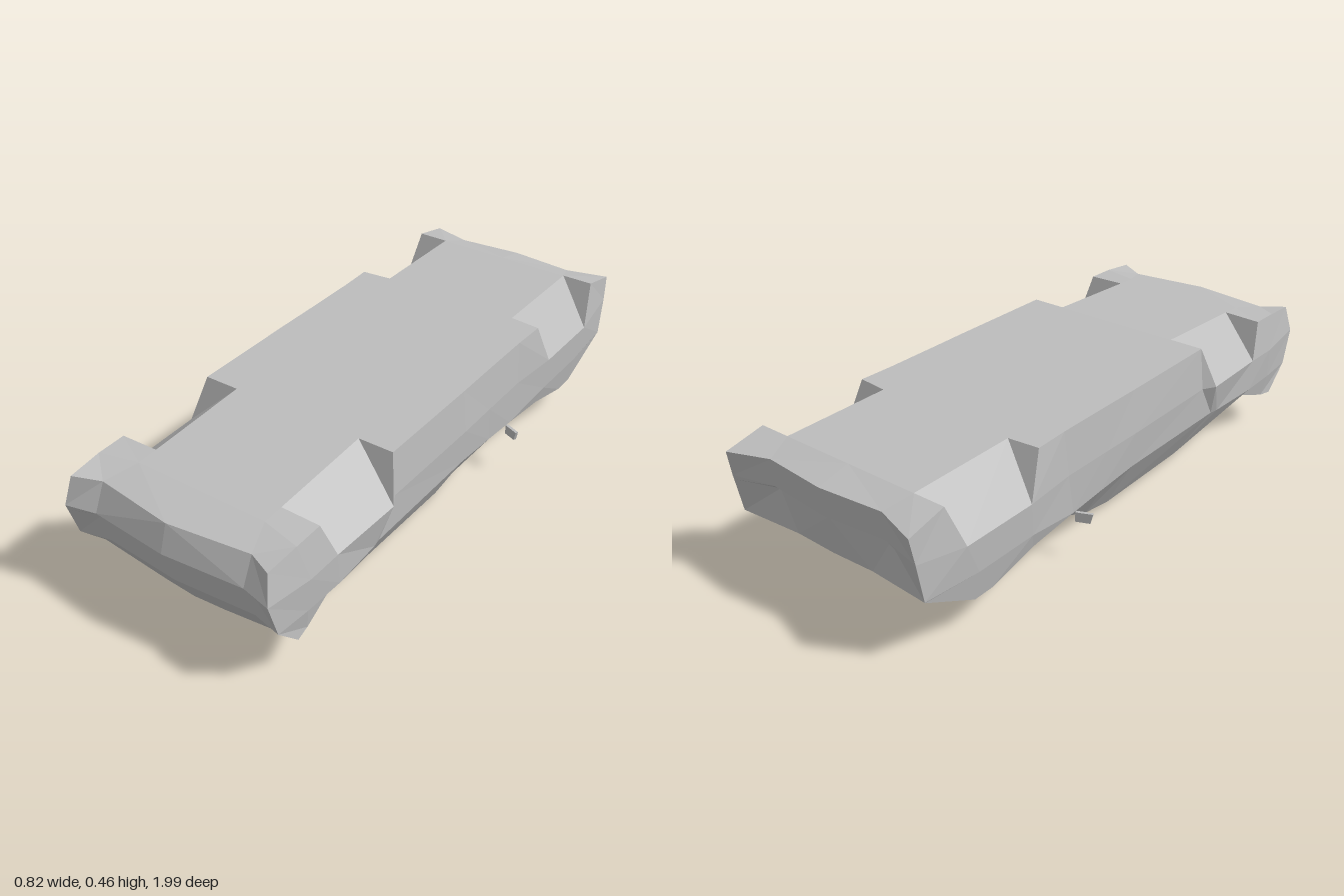
import * as THREE from 'three';

const bodyGrey = new THREE.MeshStandardMaterial({ color: 0xbdbdbd });
bodyGrey.name = 'bodyGrey';

// Flat-shaded skin over rows of points, built for +x and mirrored to -x.
function skin(rows, flip = false) {
  const pos = [];
  const tri = (p, q, r, m) => {
    const [A, B, C] = [p, q, r].map(v => new THREE.Vector3(v[0] * m, v[1], v[2]));
    const area = B.clone().sub(A).cross(C.clone().sub(A)).length();
    if (area < 1e-7) return;
    const order = (m < 0) !== flip ? [A, C, B] : [A, B, C];
    for (const v of order) pos.push(v.x, v.y, v.z);
  };
  for (const m of [1, -1])
    for (let i = 0; i + 1 < rows.length; i++)
      for (let j = 0; j + 1 < rows[i].length; j++) {
        const a = rows[i][j], b = rows[i][j + 1], c = rows[i + 1][j + 1], d = rows[i + 1][j];
        tri(a, b, c, m);
        tri(a, c, d, m);
      }
  const g = new THREE.BufferGeometry();
  g.setAttribute('position', new THREE.Float32BufferAttribute(pos, 3));
  g.computeVertexNormals();
  return g;
}

// Half sections of the overturned car: floor centre, floor inner, floor edge,
// side crease, belt, roof or lid edge, roof or lid middle, roof or lid centre.
const noseEnd = [[0, .418, .96], [.27, .418, .925], [.355, .425, .965], [.37, .33, .99],
  [.37, .21, .955], [.367, .12, .87], [.11, .1, .88], [0, .097, .885]];
const noseLid = [[0, .437, .82], [.23, .437, .82], [.36, .435, .85], [.38, .31, .82],
  [.373, .2, .83], [.36, .125, .82], [.12, .108, .83], [0, .105, .83]];
const tailEnd = [[0, .43, -.97], [.22, .43, -.95], [.36, .425, -.995], [.365, .34, -.98],
  [.367, .213, -.957], [.366, .21, -.955], [.15, .205, -.935], [0, .205, -.94]];

// Wheel wells: the floor edge drops onto the side crease between two sections.
const drop = s => s.map((p, j) => (j === 2 ? s[3] : p));

const frontWellA = [[0, .44, .75], [.23, .44, .75], [.36, .437, .75], [.38, .31, .70],
  [.378, .2, .69], [.345, .18, .66], [.13, .168, .65], [0, .165, .65]];
const frontWellB = [[0, .457, .39], [.23, .457, .39], [.35, .457, .39], [.388, .31, .44],
  [.362, .19, .5], [.26, .025, .4], [.13, .008, .4], [0, .005, .4]];
const cabinStart = frontWellB.map((p, j) => (j === 3 ? [.362, .31, .395] : j === 4 ? [.357, .19, .47] : p));
const cabinMid = [[0, .457, 0], [.23, .457, 0], [.352, .457, 0], [.365, .31, 0],
  [.357, .19, 0], [.262, .02, 0], [.13, 0, 0], [0, 0, 0]];
const cabinEnd = [[0, .457, -.15], [.23, .457, -.15], [.351, .457, -.15], [.363, .31, -.15],
  [.357, .178, -.17], [.257, .03, -.11], [.13, .018, -.17], [0, .015, -.17]];
const glassFoot = [[0, .457, -.35], [.24, .457, -.35], [.351, .457, -.35], [.362, .31, -.34],
  [.358, .167, -.31], [.345, .16, -.33], [.13, .152, -.4], [0, .15, -.41]];
const rearWellA = [[0, .457, -.48], [.25, .457, -.48], [.355, .457, -.47], [.378, .31, -.53],
  [.373, .2, -.52], [.357, .145, -.5], [.13, .12, -.5], [0, .118, -.5]];
const rearWellB = [[0, .455, -.86], [.25, .455, -.86], [.358, .455, -.86], [.378, .31, -.80],
  [.373, .2, -.75], [.357, .103, -.68], [.13, .08, -.65], [0, .078, -.65]];
const rearLid = rearWellB.map((p, j) => (j > 4 ? [p[0], p[1], p[2] - .075] : p));

const bodySections = [noseEnd, noseLid, frontWellA, drop(frontWellA), drop(frontWellB), cabinStart,
  cabinMid, cabinEnd, glassFoot, rearWellA, drop(rearWellA), drop(rearWellB), rearLid, tailEnd];

// End panels: rows from the floor edge to the lid edge, with a stepped bumper.
const nosePanel = [
  noseEnd.slice(0, 3),
  [[0, .33, .99], [.27, .33, .967], [.37, .33, .99]],
  [[0, .31, .965], [.27, .31, .945], [.37, .31, .984]],
  [[0, .207, .95], [.27, .207, .93], [.37, .21, .955]],
  [noseEnd[7], noseEnd[6], noseEnd[5]],
];
const tailPanel = [
  tailEnd.slice(0, 3),
  [[0, .34, -.965], [.22, .34, -.945], [.365, .34, -.98]],
  [[0, .325, -.945], [.22, .325, -.927], [.365, .325, -.977]],
  [tailEnd[7], tailEnd[6], tailEnd[5]],
];

export function createModel() {
  const model = new THREE.Group();
  model.name = 'overturnedCarBody';
  const add = (name, geometry) => {
    const mesh = new THREE.Mesh(geometry, bodyGrey);
    mesh.name = name;
    model.add(mesh);
    return mesh;
  };

  add('bodyShell', skin(bodySections));
  add('nosePanel', skin(nosePanel, true));
  add('tailPanel', skin(tailPanel));

  // Small tapered wing mirrors
  for (const side of [1, -1]) {
    let g = new THREE.BoxGeometry(.055, .033, .01);
    const p = g.attributes.position;
    for (let i = 0; i < p.count; i++)
      if (p.getX(i) * side > 0 && p.getY(i) < 0) p.setX(i, p.getX(i) - side * .008);
    g = g.toNonIndexed();
    g.computeVertexNormals();
    const mirror = add(side > 0 ? 'leftMirror' : 'rightMirror', g);
    mirror.position.set(side * .381, .147, -.285);
    mirror.rotation.y = -side * .4;
  }
  return model;
}
